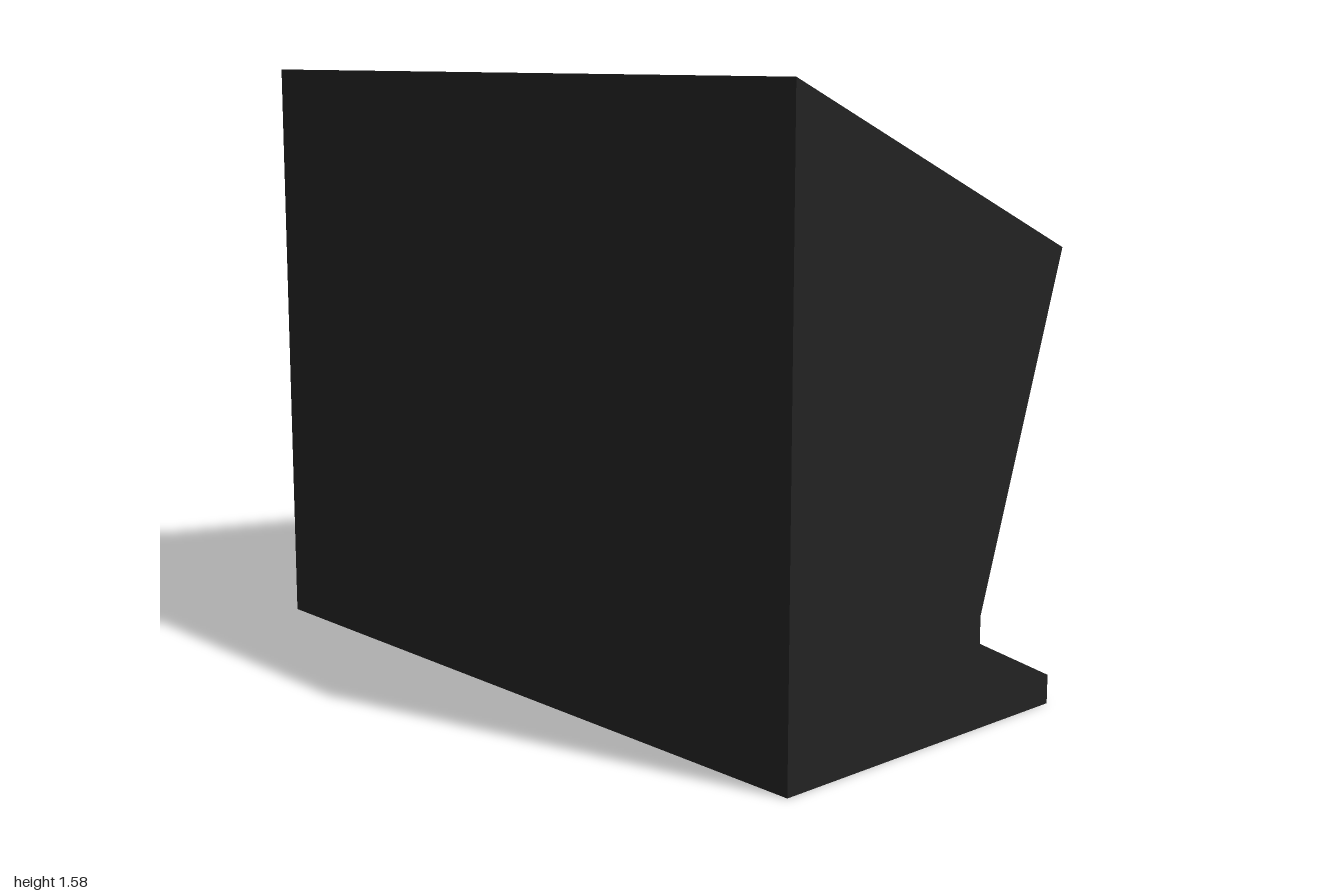
import * as THREE from 'three';

// Flat-shaded quads, each given as four corners in counter-clockwise order
function quads(list) {
  const pos = [];
  for (const [a, b, c, d] of list) pos.push(...a, ...b, ...c, ...a, ...c, ...d);
  const g = new THREE.BufferGeometry();
  g.setAttribute('position', new THREE.Float32BufferAttribute(pos, 3));
  g.computeVertexNormals();
  return g;
}

export function createModel() {
  const group = new THREE.Group();
  const black = new THREE.MeshStandardMaterial({ color: 0x222222 });
  black.name = 'black casing';
  const blue = new THREE.MeshStandardMaterial({ color: 0x0f24db });
  blue.name = 'blue screen';

  const add = (name, geometry, material) => {
    const mesh = new THREE.Mesh(geometry, material);
    mesh.name = name;
    group.add(mesh);
  };

  // Side profile as [z, y], from the front foot over the sloped top to the back foot
  const profile = [
    [0.475, 0], [0.475, 1.58], [-0.475, 1.16], [-0.195, 0.285],
    [-0.195, 0.215], [-0.475, 0.075], [-0.475, 0],
  ];

  // Walls along every profile edge except the open top
  const walls = [];
  profile.forEach(([z0, y0], i) => {
    if (i === 1) return;
    const [z1, y1] = profile[(i + 1) % profile.length];
    walls.push([[-1, y0, z0], [1, y0, z0], [1, y1, z1], [-1, y1, z1]]);
  });
  add('casingWalls', quads(walls), black);

  // Side panels
  for (const s of [-1, 1]) {
    const shape = new THREE.Shape(profile.map(([z, y]) => new THREE.Vector2(-s * z, y)));
    const side = new THREE.ShapeGeometry(shape);
    side.rotateY(s * Math.PI / 2).translate(s, 0, 0);
    add(s > 0 ? 'leftPanel' : 'rightPanel', side, black);
  }

  // Bevelled rim sloping in to the sunken screen
  const ring = (x, zf, yf, zb, yb) => [[-x, yf, zf], [x, yf, zf], [x, yb, zb], [-x, yb, zb]];
  const outer = ring(1, 0.475, 1.58, -0.475, 1.16);
  const inner = ring(0.92, 0.412, 1.495, -0.415, 1.125);
  add('screenRim', quads(outer.map((p, i) => {
    const j = (i + 1) % 4;
    return [p, outer[j], inner[j], inner[i]];
  })), black);
  add('screen', quads([inner]), blue);

  return group;
}
